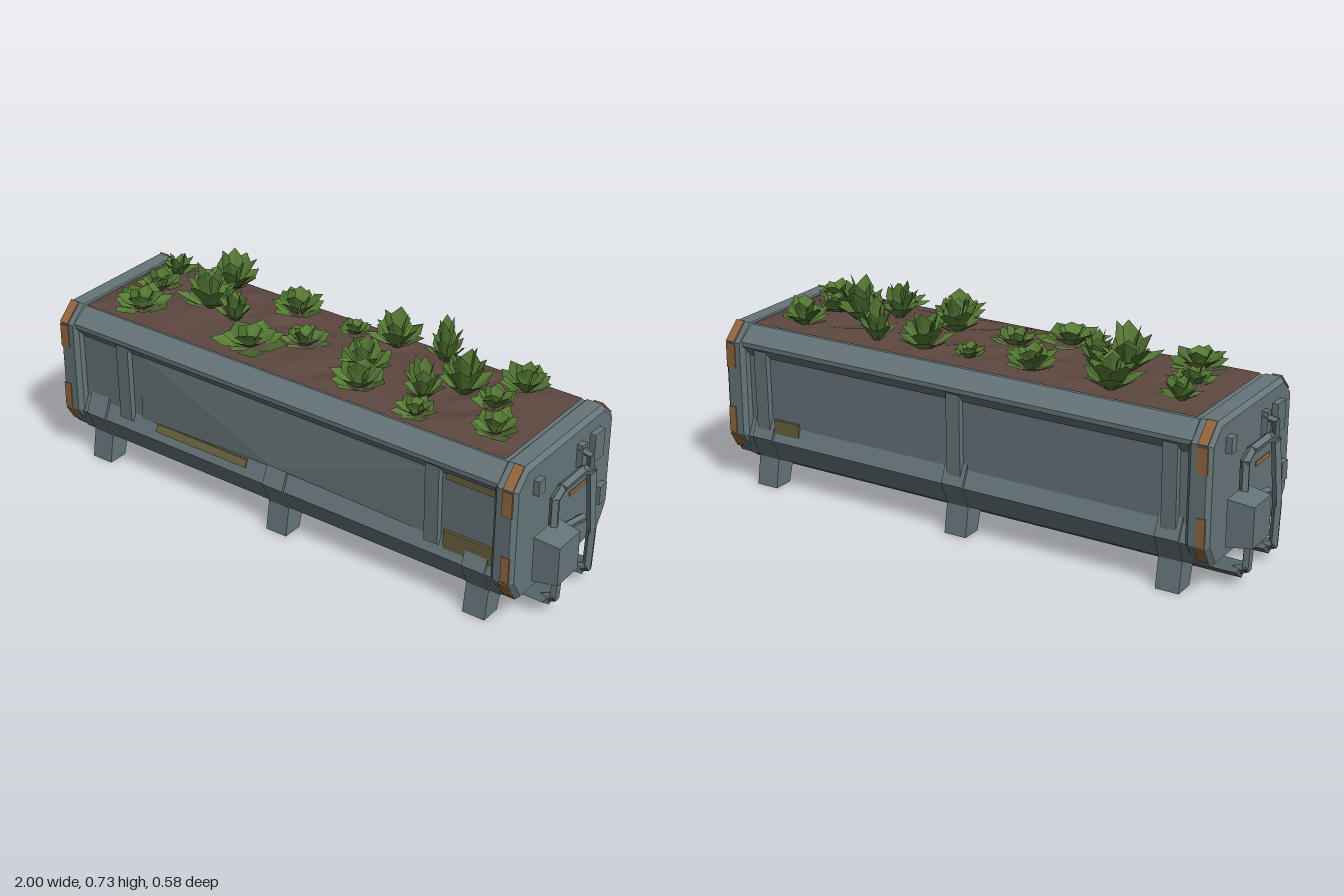
import * as THREE from 'three';

const mat = (name, color, extra = {}) =>
  Object.assign(new THREE.MeshStandardMaterial({ color, flatShading: true, ...extra }), { name });

export function createModel() {
  const steel = mat('steel', 0x66757a);
  const darkSteel = mat('darkSteel', 0x56646a);
  const rust = mat('rust', 0x94683f);
  const olive = mat('oliveStain', 0x6a6240);
  const soilMat = mat('soil', 0x5c473f, { side: THREE.DoubleSide });
  const leafMats = [mat('leafGreen', 0x5a7f37, { side: THREE.DoubleSide }),
    mat('darkLeafGreen', 0x4a6c2e, { side: THREE.DoubleSide })];

  const model = new THREE.Group();
  model.name = 'planter';
  let seed = 11;
  const rnd = () => (seed = (seed * 16807) % 2147483647) / 2147483647;

  const add = (name, geo, material, parent = model) => {
    const mesh = new THREE.Mesh(geo, material);
    mesh.name = name;
    parent.add(mesh);
    return mesh;
  };
  // box given by its limits on each axis
  const box = (name, x0, x1, y0, y1, z0, z1, material, parent) => {
    const g = new THREE.BoxGeometry(x1 - x0, y1 - y0, z1 - z0);
    g.translate((x0 + x1) / 2, (y0 + y1) / 2, (z0 + z1) / 2);
    return add(name, g, material, parent);
  };
  // [z, y] outline swept along x
  const prism = (name, pts, x0, x1, material, bevel = 0, parent = model) => {
    const shape = new THREE.Shape(pts.map(([z, y]) => new THREE.Vector2(-z, y)));
    const g = new THREE.ExtrudeGeometry(shape, {
      depth: x1 - x0 - 2 * bevel, bevelEnabled: bevel > 0, bevelSize: bevel,
      bevelThickness: bevel, bevelOffset: -bevel, bevelSegments: 1,
    });
    g.rotateY(Math.PI / 2).translate(x0 + bevel, 0, 0);
    return add(name, g, material, parent);
  };
  const mirrored = (half) => [...half, ...half.map(([z, y]) => [-z, y]).reverse()];
  // straight faceted pipes through a list of points
  const pipe = (name, pts, r, material, parent) => {
    for (let i = 1; i < pts.length; i++) {
      const a = new THREE.Vector3(...pts[i - 1]), b = new THREE.Vector3(...pts[i]);
      const dir = b.clone().sub(a), len = dir.length();
      const m = add(name, new THREE.CylinderGeometry(r, r, len + r * 0.8, 5), material, parent);
      m.position.copy(a).add(b).multiplyScalar(0.5);
      m.quaternion.setFromUnitVectors(new THREE.Vector3(0, 1, 0), dir.normalize());
    }
  };

  // trough with recessed long sides
  prism('trough', mirrored([[0.24, 0.1], [0.272, 0.175], [0.248, 0.23], [0.25, 0.46],
    [0.278, 0.495], [0.278, 0.51], [0.222, 0.558]]), -0.84, 0.84, steel);
  const endProfile = mirrored([[0.235, 0.1], [0.285, 0.18], [0.285, 0.505], [0.225, 0.562]]);
  for (const s of [-1, 1]) {
    prism('endPlate', endProfile, s > 0 ? 0.82 : -0.9, s > 0 ? 0.9 : -0.82, steel, 0.014);
  }
  box('underPanel', -0.8, 0.8, 0.092, 0.102, -0.2, 0.2, darkSteel);

  // lumpy soil bed
  const bed = new THREE.PlaneGeometry(1.64, 0.444, 20, 6).rotateX(-Math.PI / 2);
  const bp = bed.attributes.position;
  for (let i = 0; i < bp.count; i++) {
    const edge = Math.abs(bp.getX(i)) > 0.8 || Math.abs(bp.getZ(i)) > 0.2;
    bp.setY(i, edge ? 0.562 : 0.566 + rnd() * 0.018);
  }
  add('soil', bed, soilMat);

  // splayed legs with braces up the sides
  for (const s of [-1, 1]) {
    for (const x of [-0.76, 0, 0.76]) {
      prism('leg', [[0.262 * s, 0], [0.245 * s, 0.1], [0.28 * s, 0.18], [0.25 * s, 0.25],
        [0.2 * s, 0.18], [0.168 * s, 0.075], [0.19 * s, 0]].slice(0).sort(() => 0),
      x - 0.04, x + 0.04, steel);
    }
    for (const x of s > 0 ? [-0.63, 0.6] : [-0.76, 0, 0.76]) {
      prism('sideRib', [[0.24 * s, 0.19], [0.268 * s, 0.21], [0.272 * s, 0.49], [0.24 * s, 0.49]],
        x - 0.025, x + 0.025, steel);
    }
  }
  // dented front sheet, folded out to a point above the middle leg
  const dent = new THREE.BufferGeometry();
  dent.setAttribute('position', new THREE.Float32BufferAttribute([
    -0.57, 0.47, 0.252, 0, 0.255, 0.272, 0.57, 0.45, 0.252,
    -0.57, 0.47, 0.252, -0.57, 0.225, 0.252, 0, 0.255, 0.272,
    0, 0.255, 0.272, 0.57, 0.225, 0.252, 0.57, 0.45, 0.252], 3));
  dent.computeVertexNormals();
  add('frontSheet', dent, steel);

  // rust and stains
  const stains = new THREE.Group();
  stains.name = 'stains';
  model.add(stains);
  for (const s of [-1, 1]) for (const f of [-1, 1]) {
    const patch = (y0, y1, w) => {
      const xs = [s * 0.889, s * (0.889 - w)].sort((a, b) => a - b);
      box('rustPatch', xs[0], xs[1], y0, y1, f * 0.285 - 0.003, f * 0.285 + 0.003, rust, stains);
    };
    patch(0.415, 0.5, 0.035);
    patch(0.185, 0.275, 0.028);
    const xs = [s * 0.888, s * 0.855].sort((a, b) => a - b);
    prism('rustCorner', [[0.285 * f, 0.505], [0.225 * f, 0.562], [0.228 * f, 0.566], [0.289 * f, 0.508]],
      xs[0], xs[1], rust, 0, stains);
    prism('rustFoot', [[0.252 * f, 0.125], [0.285 * f, 0.18], [0.289 * f, 0.178], [0.256 * f, 0.122]],
      xs[0], xs[1], rust, 0, stains);
  }
  box('oliveStain', 0.64, 0.82, 0.2, 0.265, 0.252, 0.261, olive, stains);
  box('oliveStain', 0.64, 0.82, 0.445, 0.475, 0.248, 0.257, olive, stains);
  box('oliveStain', 0.62, 0.72, 0.2, 0.25, -0.261, -0.252, olive, stains);
  prism('oliveStain', [[0.263, 0.205], [0.252, 0.23], [0.257, 0.23], [0.268, 0.205]], -0.5, -0.12, olive, 0, stains);

  // pipes, control box and fittings, repeated at the other end by a half turn
  for (const turn of [0, Math.PI]) {
    const end = new THREE.Group();
    end.name = 'endFittings';
    end.rotation.y = turn;
    model.add(end);
    const cb = new THREE.BoxGeometry(0.085, 0.155, 0.135);
    const p = cb.attributes.position;
    for (let i = 0; i < p.count; i++) if (p.getX(i) > 0) {
      p.setY(i, p.getY(i) * 0.86);
      p.setZ(i, p.getZ(i) * 0.88);
    }
    add('controlBox', cb, steel, end).position.set(0.957, 0.235, 0.127);
    pipe('endPipe', [[0.925, 0.31, 0.1], [0.925, 0.4, 0.1], [0.93, 0.43, 0.07], [0.93, 0.43, -0.05],
      [0.935, 0.41, -0.098], [0.95, 0.2, -0.1], [0.945, 0.06, -0.1], [0.9, 0.04, -0.1]], 0.016, steel, end);
    pipe('boxPipe', [[0.95, 0.17, 0.098], [0.945, 0.06, 0.1], [0.9, 0.04, 0.1]], 0.016, steel, end);
    pipe('crossPipe', [[0.92, 0.27, 0.06], [0.92, 0.235, -0.09]], 0.014, steel, end);
    pipe('upperHook', [[0.89, 0.49, -0.07], [0.945, 0.48, -0.07], [0.935, 0.41, -0.09]], 0.012, steel, end);
    for (const [y0, y1, z0, z1] of [[0.455, 0.505, 0.155, 0.19], [0.425, 0.505, -0.087, -0.06],
      [0.41, 0.505, -0.195, -0.137], [0.225, 0.29, -0.235, -0.195]]) {
      box('fitting', 0.89, 0.92, y0, y1, z0, z1, steel, end);
    }
    box('rustSpeck', 0.9, 0.903, 0.335, 0.35, -0.13, -0.03, rust, end);
    // keel pipe along the underside
    prism('keelPipe', [[0.145, 0.056], [0.1, 0.022], [0.055, 0.056]], -0.93, 0.93, darkSteel, 0, end);
  }

  // leafy plants: rings of folded leaves around a heart
  const plant = (x, z, r, h) => {
    const sets = [[], []];
    const v = new THREE.Vector3(), up = new THREE.Vector3(0, 1, 0);
    [[7, 1, 0.45], [6, 0.8, 0.75], [4, 0.4, 1]].forEach(([n, reach, rise], ring) => {
      for (let i = 0; i < n; i++) {
        const a = (i + ring * 0.5 + rnd() * 0.4) / n * Math.PI * 2;
        const R = r * reach * (0.85 + rnd() * 0.35), H = h * rise * (0.8 + rnd() * 0.3);
        const w = r * (0.3 + rnd() * 0.14);
        const pt = (d, y, side) => v.set(d, y, side).applyAxisAngle(up, a).toArray();
        const base = pt(0.01, 0, 0), mid = pt(R * 0.55, H * 0.5, 0), tip = pt(R, H, 0);
        const l = pt(R * 0.65, H * 0.75, w), q = pt(R * 0.65, H * 0.75, -w);
        sets[(i + ring) % 3 ? 0 : 1].push(...base, ...l, ...mid, ...mid, ...l, ...tip,
          ...base, ...mid, ...q, ...mid, ...tip, ...q);
      }
    });
    sets.forEach((pos, i) => {
      const g = new THREE.BufferGeometry();
      g.setAttribute('position', new THREE.Float32BufferAttribute(pos, 3));
      g.computeVertexNormals();
      add('plantLeaves', g, leafMats[i]).position.set(x, 0.565, z);
    });
  };
  [[-0.65, 0.14, 0.1, 0.08], [-0.5, -0.16, 0.095, 0.13], [-0.47, 0, 0.1, 0.15], [-0.7, -0.01, 0.08, 0.07],
    [-0.72, -0.13, 0.06, 0.08], [-0.21, -0.14, 0.095, 0.09], [-0.35, 0.02, 0.06, 0.12], [-0.2, 0.13, 0.11, 0.07],
    [-0.06, 0.02, 0.08, 0.07], [0.02, -0.14, 0.06, 0.05], [0.18, -0.15, 0.09, 0.12], [0.19, 0.05, 0.09, 0.12],
    [0.24, 0.14, 0.1, 0.1], [0.36, -0.16, 0.06, 0.15], [0.43, 0.07, 0.07, 0.13], [0.47, 0.17, 0.07, 0.06],
    [0.52, -0.02, 0.09, 0.16], [0.66, -0.15, 0.09, 0.09], [0.64, 0, 0.07, 0.08], [0.72, 0.12, 0.085, 0.07],
  ].forEach((args) => plant(...args));

  return model;
}
